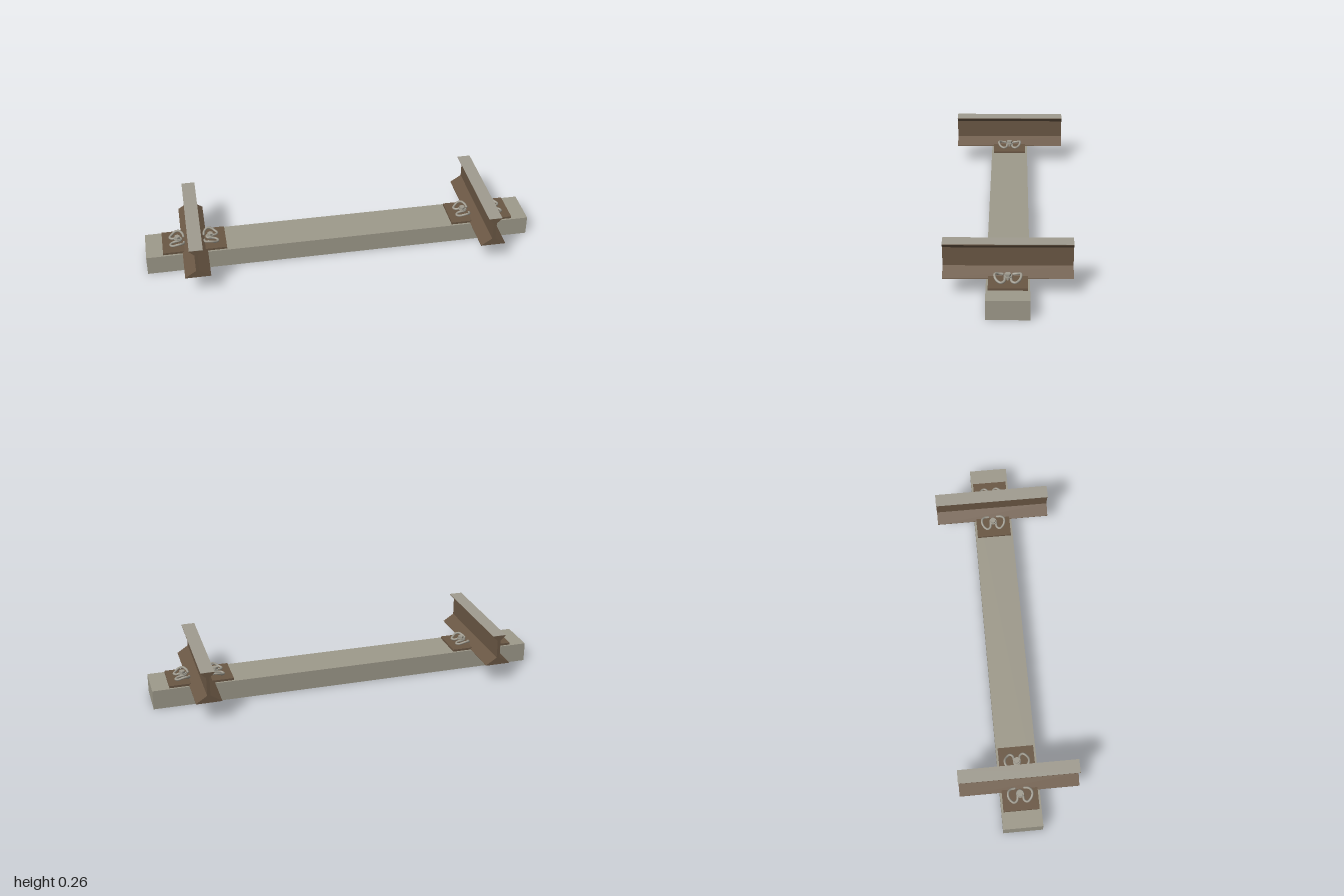
import * as THREE from 'three';

const concrete = new THREE.MeshStandardMaterial({ name: 'concrete', color: 0x9e9a8b });
const rust = new THREE.MeshStandardMaterial({ name: 'rustyIron', color: 0x6a5744 });
const steel = new THREE.MeshStandardMaterial({ name: 'wornSteel', color: 0xa09c90 });

function add(parent, name, geometry, material, x = 0, y = 0, z = 0) {
  const mesh = new THREE.Mesh(geometry, material);
  mesh.name = name;
  mesh.position.set(x, y, z);
  parent.add(mesh);
  return mesh;
}

// Sprung clip, bolt and nut; local +x points away from the rail
function createFastener() {
  const g = new THREE.Group();
  g.name = 'fastener';
  // Half of the bent bar, from the tip on the rail foot to the middle loop
  const half = [
    [0.052, 0.121, 0.024], [0.056, 0.126, 0.045], [0.072, 0.134, 0.059],
    [0.092, 0.131, 0.060], [0.110, 0.121, 0.050], [0.122, 0.117, 0.033],
    [0.113, 0.118, 0.018], [0.092, 0.122, 0.014], [0.072, 0.124, 0.012],
  ];
  const mirrored = half.map(([x, y, z]) => [x, y, -z]).reverse();
  const points = [...half, [0.064, 0.124, 0], ...mirrored].map(p => new THREE.Vector3(...p));
  const curve = new THREE.CatmullRomCurve3(points);
  add(g, 'springClip', new THREE.TubeGeometry(curve, 72, 0.006, 8), steel);
  // Rounded ends close the bar
  for (const p of [points[0], points[points.length - 1]]) {
    add(g, 'clipEnd', new THREE.SphereGeometry(0.006, 8, 6), steel, p.x, p.y, p.z);
  }
  add(g, 'boltShank', new THREE.CylinderGeometry(0.007, 0.007, 0.02, 12), steel, 0.084, 0.118, 0);
  add(g, 'washer', new THREE.CylinderGeometry(0.019, 0.019, 0.004, 16), steel, 0.084, 0.13, 0);
  const nut = new THREE.CylinderGeometry(0.015, 0.015, 0.012, 6).toNonIndexed();
  nut.computeVertexNormals();
  add(g, 'nut', nut, steel, 0.084, 0.138, 0);
  return g;
}

// Rail with its base plate and a fastener on each side
function createRail() {
  const g = new THREE.Group();
  g.name = 'railAssembly';
  const side = [
    [0.064, 0.102], [0.064, 0.104], [0.008, 0.141], [0.008, 0.235], [0.034, 0.260], [0.034, 0.263],
  ];
  const outline = [...side, ...side.map(([x, y]) => [-x, y]).reverse()];
  const shape = new THREE.Shape(outline.map(p => new THREE.Vector2(...p)));
  add(g, 'rail', new THREE.ExtrudeGeometry(shape, { depth: 0.6, bevelEnabled: false }), rust, 0, 0, -0.3);
  // Polished running surface
  add(g, 'runningSurface', new THREE.BoxGeometry(0.068, 0.001, 0.6), steel, 0, 0.2635, 0);
  add(g, 'basePlate', new THREE.BoxGeometry(0.324, 0.011, 0.18), rust, 0, 0.1055, 0);
  const outer = createFastener();
  const inner = createFastener();
  inner.rotation.y = Math.PI;
  g.add(outer, inner);
  return g;
}

export function createModel() {
  const model = new THREE.Group();
  model.name = 'trackSection';
  add(model, 'sleeper', new THREE.BoxGeometry(2, 0.1, 0.2), concrete, 0, 0.05, 0);
  for (const s of [-1, 1]) {
    const rail = createRail();
    rail.position.x = s * 0.752;
    model.add(rail);
  }
  return model;
}
